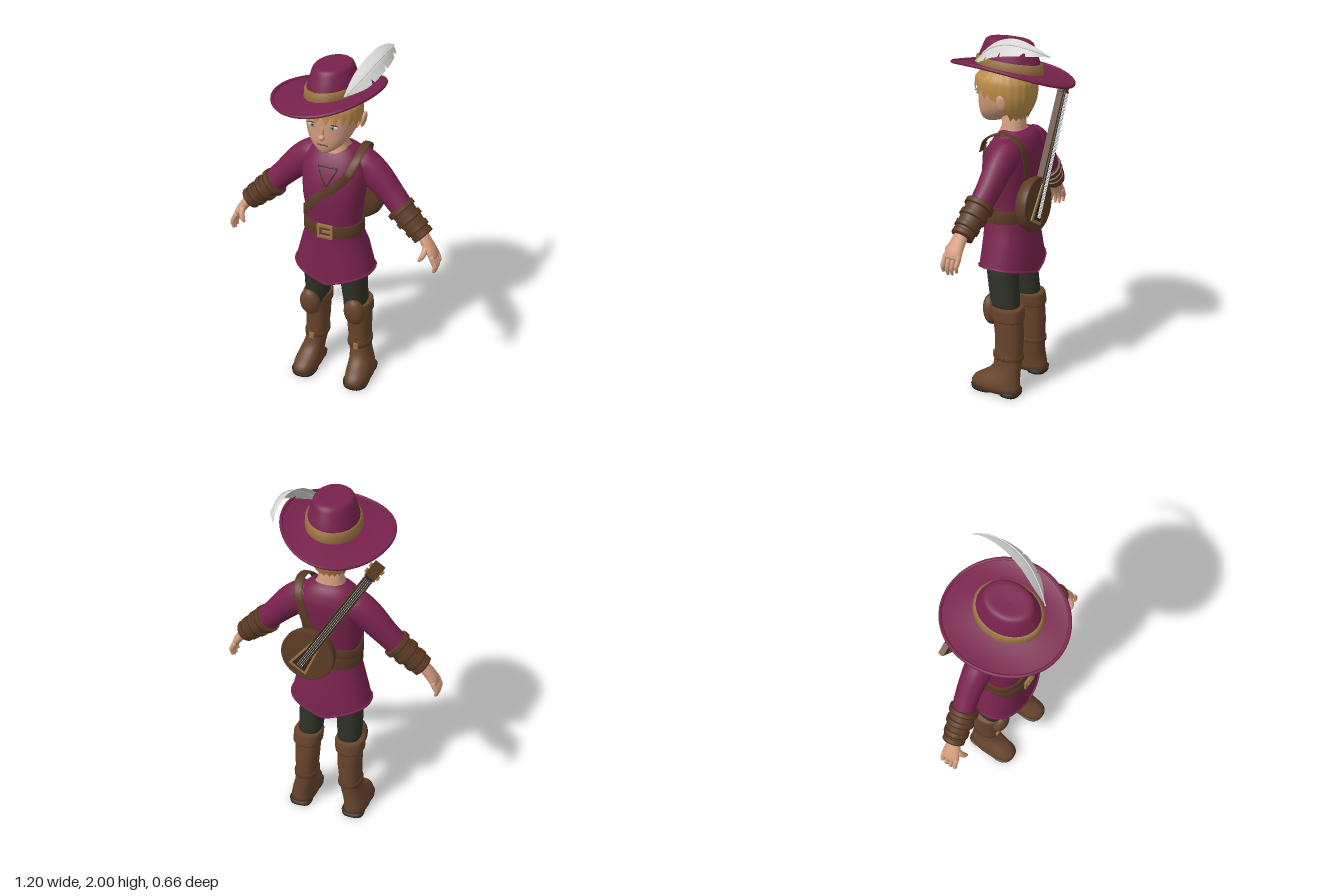
import * as THREE from 'three';

const mat = (name, color, side = THREE.FrontSide) => {
  const m = new THREE.MeshStandardMaterial({ color, side });
  m.name = name;
  return m;
};
const V = (x, y, z) => new THREE.Vector3(x, y, z);
const TAU = Math.PI * 2;

// Smooth surface from a rule f(u, v); wrap joins u = 1 back to u = 0.
function grid(f, nu, nv, wrap = true) {
  const pos = [], idx = [], cols = wrap ? nu : nu + 1;
  for (let j = 0; j <= nv; j++)
    for (let i = 0; i < cols; i++) pos.push(...f(i / nu, j / nv).toArray());
  for (let j = 0; j < nv; j++)
    for (let i = 0; i < nu; i++) {
      const k = (i + 1) % cols, a = j * cols + i, c = j * cols + k;
      idx.push(a, a + cols, c, a + cols, c + cols, c);
    }
  const g = new THREE.BufferGeometry();
  g.setAttribute('position', new THREE.Float32BufferAttribute(pos, 3));
  g.setIndex(idx);
  g.computeVertexNormals();
  return g;
}

// Point on a body of stacked rounded sections [y, centreX, halfX, frontZ, backZ].
function surf(secs, y, a, e = 0.85) {
  let i = 0;
  while (i < secs.length - 2 && y > secs[i + 1][0]) i++;
  const p = secs[i], q = secs[i + 1];
  const t = THREE.MathUtils.clamp((y - p[0]) / (q[0] - p[0]), 0, 1);
  const [, cx, hx, zf, zb] = p.map((n, k) => n + (q[k] - n) * t);
  const pw = n => Math.sign(n) * Math.abs(n) ** e;
  return V(cx + hx * pw(Math.cos(a)), y, (zf + zb) / 2 + (zf - zb) / 2 * pw(Math.sin(a)));
}
function loft(secs, cap = true, e = 0.85) {
  const n = secs.length - 1, rows = secs.map(s => [s, 1]);
  if (cap) { rows.unshift([secs[0], 0]); rows.push([secs[n], 0]); }
  return grid((u, v) => {
    const [s, k] = rows[Math.round(v * (rows.length - 1))];
    const p = surf(secs, s[0], u * TAU, e), c = V(s[1], s[0], (s[3] + s[4]) / 2);
    return k ? p : c;
  }, 32, rows.length - 1);
}

// Tapered limb along points [x, y, z, radiusU, radiusV]; U lies near ref.
function limb(pts, ref = V(0, 0, 1), steps = 4) {
  const path = new THREE.CatmullRomCurve3(pts.map(p => V(p[0], p[1], p[2])));
  const n = (pts.length - 1) * steps;
  return grid((u, v) => {
    const row = Math.round(v * (n + 2)) - 1, t = THREE.MathUtils.clamp(row / n, 0, 1);
    const k = Math.min(Math.floor(t * (pts.length - 1)), pts.length - 2), f = t * (pts.length - 1) - k;
    const r = j => (row < 0 || row > n) ? 0 : pts[k][j] + (pts[k + 1][j] - pts[k][j]) * f;
    const d = path.getTangent(t), U = ref.clone().addScaledVector(d, -ref.dot(d)).normalize();
    const W = U.clone().cross(d);
    return path.getPoint(t).addScaledVector(U, Math.cos(u * TAU) * r(3)).addScaledVector(W, Math.sin(u * TAU) * r(4));
  }, 18, n + 2);
}

// Flat strip lying on a sectioned body, along [angle, y] points.
function ribbon(secs, pts, width, off) {
  const n = (pts.length - 1) * 12;
  const at = t => {
    const s = THREE.MathUtils.clamp(t, 0, 1) * (pts.length - 1), k = Math.min(Math.floor(s), pts.length - 2);
    const [a, y] = pts[k].map((c, j) => c + (pts[k + 1][j] - c) * (s - k));
    return [surf(secs, y, a), V(Math.cos(a), 0, Math.sin(a))];
  };
  return grid((u, v) => {
    const [p, nrm] = at(u), d = at(u + 0.01)[0].sub(at(u - 0.01)[0]).normalize();
    const side = nrm.clone().cross(d).normalize();
    const k = [-1, -1, 1, 1][Math.round(v * 3)], o = [0, off, off, 0][Math.round(v * 3)];
    return p.addScaledVector(side, k * width / 2).addScaledVector(nrm, o);
  }, n, 3, false);
}

export function createModel() {
  const root = new THREE.Group();
  root.name = 'minstrel';
  const D = THREE.DoubleSide;
  const cloth = mat('plum cloth', 0x78224d, D), skin = mat('skin', 0xd39c7e), hair = mat('blond hair', 0xb98d48, D);
  const leather = mat('dark leather', 0x5b3b24, D), boot = mat('boot leather', 0x67442b, D);
  const pants = mat('dark green cloth', 0x2e3226), gold = mat('tan trim', 0x9a7440, D);
  const white = mat('feather white', 0xd6d6d4, D), dark = mat('dark brown', 0x33281f, D), blue = mat('eye blue', 0x6f93a8);
  const add = (name, geo, m, parent = root) => {
    const o = new THREE.Mesh(geo, m);
    o.name = name;
    parent.add(o);
    return o;
  };
  const blob = (name, m, p, s, rz = 0) => {
    const o = add(name, new THREE.SphereGeometry(1, 20, 14), m);
    o.position.set(...p); o.scale.set(...s); o.rotation.z = rz;
    return o;
  };
  const box = (name, m, p, s, parent = root) => {
    const o = add(name, new THREE.BoxGeometry(...s), m, parent);
    o.position.set(...p);
    return o;
  };

  // Tunic with pointed hem
  const torso = [[0.755, 0, 0.222, 0.133, -0.165], [0.9, 0, 0.185, 0.118, -0.148], [1.0, 0, 0.152, 0.12, -0.115],
    [1.1, 0, 0.152, 0.125, -0.12], [1.2, 0, 0.165, 0.138, -0.132], [1.3, 0, 0.175, 0.126, -0.147],
    [1.38, 0, 0.176, 0.1, -0.155], [1.44, 0, 0.145, 0.062, -0.148], [1.468, 0, 0.115, 0.04, -0.12], [1.485, 0, 0.08, 0.02, -0.095]];
  const tunic = loft(torso, false), tp = tunic.attributes.position;
  for (let i = 0; i < 32; i++) tp.setY(i, 0.755 - 0.065 * (1 - Math.abs(tp.getX(i)) / 0.222));
  tunic.computeVertexNormals();
  add('tunic', tunic, cloth);
  add('tunicHem', new THREE.TubeGeometry(new THREE.CatmullRomCurve3(
    [...Array(32).keys()].map(i => V(tp.getX(i), tp.getY(i), tp.getZ(i))), true), 64, 0.007, 6, true), cloth);
  add('neckOpening', ribbon(torso, [[1.32, 1.395], [1.56, 1.3], [1.82, 1.395], [1.32, 1.395]], 0.006, 0.004), dark);

  // Belt and buckle
  add('belt', ribbon(torso, [0, 1, 2, 3, 4].map(i => [i * TAU / 4, 1.025]), 0.07, 0.012), leather);
  for (const s of [-1, 1]) {
    box('buckleSide', gold, [s * 0.036, 1.03, 0.137], [0.014, 0.08, 0.014]);
    box('buckleBar', gold, [0, 1.03 + s * 0.033, 0.137], [0.086, 0.014, 0.014]);
  }
  box('bucklePin', gold, [0.01, 1.03, 0.139], [0.05, 0.012, 0.01]);

  // Shoulder strap: chest, over the shoulder, and round the back
  add('chestStrap', ribbon(torso, [[0.85, 1.4], [1.02, 1.36], [1.57, 1.265], [2.15, 1.155], [2.8, 1.085], [3.6, 1.07], [4.4, 1.09]], 0.048, 0.012), leather);
  add('shoulderStrap', limb([[0.11, 1.37, 0.105, 0.024, 0.006], [0.14, 1.44, 0.065, 0.024, 0.006], [0.15, 1.482, -0.01, 0.024, 0.006],
    [0.15, 1.482, -0.085, 0.024, 0.006], [0.135, 1.43, -0.148, 0.024, 0.006], [0.1, 1.3, -0.155, 0.024, 0.006], [0.06, 1.2, -0.14, 0.024, 0.006]], V(1, 0, 0)), leather);

  // Neck and head
  add('neck', loft([[1.42, 0, 0.09, 0.066, -0.12], [1.465, 0, 0.085, 0.046, -0.1], [1.5, 0, 0.066, 0.035, -0.085], [1.62, 0, 0.062, 0.04, -0.085]]), skin);
  const head = [[1.507, 0, 0.025, 0.143, 0.08], [1.52, 0, 0.05, 0.154, 0.04], [1.545, 0, 0.083, 0.16, 0], [1.575, 0, 0.108, 0.165, -0.06],
    [1.61, 0, 0.124, 0.167, -0.1], [1.65, 0, 0.133, 0.165, -0.115], [1.7, 0, 0.138, 0.17, -0.12], [1.75, 0, 0.134, 0.165, -0.115], [1.8, 0, 0.1, 0.12, -0.09]];
  add('head', loft(head, true, 0.92), skin);
  const faceZ = (x, y) => {
    let a = Math.PI / 2;
    while (surf(head, y, a, 0.92).x < Math.abs(x)) a -= 0.01;
    return surf(head, y, a, 0.92).z;
  };
  blob('nose', skin, [0, 1.607, 0.168], [0.017, 0.016, 0.021]);
  blob('noseBridge', skin, [0, 1.635, 0.162], [0.01, 0.035, 0.012]);
  blob('mouth', leather, [0, 1.562, faceZ(0, 1.562)], [0.032, 0.004, 0.004]);
  for (const s of [-1, 1]) {
    blob('eyeWhite', white, [s * 0.055, 1.666, faceZ(0.055, 1.666) - 0.001], [0.024, 0.013, 0.005]);
    blob('iris', blue, [s * 0.054, 1.666, faceZ(0.054, 1.666) + 0.002], [0.011, 0.012, 0.004]);
    blob('pupil', dark, [s * 0.054, 1.666, faceZ(0.054, 1.666) + 0.004], [0.005, 0.006, 0.003]);
    blob('eyelid', dark, [s * 0.056, 1.68, faceZ(0.056, 1.68)], [0.026, 0.003, 0.005], -s * 0.1);
    blob('eyebrow', hair, [s * 0.058, 1.706, faceZ(0.058, 1.706)], [0.03, 0.006, 0.006], -s * 0.1);
    blob('ear', skin, [s * 0.147, 1.645, -0.03], [0.014, 0.045, 0.028], -s * 0.2);
  }

  // Hair shell with a jagged edge: short fringe, long at the nape
  const hairSecs = [[1.54, 0, 0.085, 0.15, -0.095], [1.6, 0, 0.125, 0.17, -0.125], [1.65, 0, 0.145, 0.176, -0.138],
    [1.7, 0, 0.15, 0.182, -0.14], [1.75, 0, 0.146, 0.178, -0.134], [1.8, 0, 0.11, 0.14, -0.1]];
  add('hair', grid((u, v) => {
    const a = u * TAU, s = Math.sin(a);
    const lock = Math.abs((u * 22) % 1 - 0.5) * 2;
    const edge = s > 0 ? 1.675 + 0.05 * Math.min(1, s * 1.2) - 0.04 * lock : 1.675 - 0.12 * Math.min(1, -s * 1.9) - 0.02 * lock;
    const p = surf(hairSecs, edge + (1.8 - edge) * v, a, 0.9);
    p.x *= 1 + 0.02 * lock; p.z *= 1 + 0.02 * lock;
    return p;
  }, 132, 10), hair);

  // Hat: tilted brim, crown and band
  const tilt = (x, z) => 1.78 + 0.17 * (x + 0.03) + 0.09 * z;
  const brimAt = (a, v) => {
    const x = -0.005 + 0.12 * Math.cos(a) + v * (-0.025 + 0.16 * Math.cos(a)), z = (0.16 + 0.163 * v) * Math.sin(a);
    return V(x, tilt(x, z) + 0.02 * v * v * Math.cos(2 * a) + 0.012 * (1 - v) ** 2, z);
  };
  add('hatBrim', grid((u, v) => brimAt(u * TAU, 1 - v), 56, 10), cloth);
  add('hatBrimEdge', new THREE.TubeGeometry(new THREE.CatmullRomCurve3(
    [...Array(40).keys()].map(i => brimAt(i / 40 * TAU, 1)), true), 80, 0.009, 8, true), cloth);
  const crownAt = (a, k, h) => {
    const x = 0.133 * k * Math.cos(a), z = 0.174 * k * Math.sin(a);
    return V(x - 0.005, 1.783 + h + (tilt(x, z) - 1.785) * (1 - 3.5 * h), z + 0.005);
  };
  const prof = [[1, 0], [0.99, 0.03], [0.95, 0.065], [0.87, 0.1], [0.79, 0.135], [0.74, 0.152], [0.66, 0.162], [0.5, 0.162], [0, 0.158]];
  add('hatCrown', grid((u, v) => crownAt(u * TAU, ...prof[Math.round(v * 8)]), 40, 8), cloth);
  const band = [[0.98, 0.005], [1.07, 0.005], [1.04, 0.055], [0.94, 0.057]];
  add('hatBand', grid((u, v) => crownAt(u * TAU, ...band[Math.round(v * 3)]), 40, 3), gold);

  // Feather: bowed blade between two edges, with notches
  const curve = pts => new THREE.CatmullRomCurve3(pts.map(p => V(...p)));
  const inner = curve([[0.105, 1.84, 0.145], [0.122, 1.92, 0.06], [0.15, 1.975, -0.03], [0.175, 1.998, -0.14], [0.19, 1.975, -0.25], [0.187, 1.936, -0.33]]);
  const outer = curve([[0.11, 1.835, 0.135], [0.195, 1.865, 0.06], [0.238, 1.905, -0.03], [0.25, 1.925, -0.12], [0.235, 1.935, -0.24], [0.188, 1.934, -0.33]]);
  const rib = t => inner.getPoint(t).lerp(outer.getPoint(t), 0.45).add(V(0.012, 0.012, 0).multiplyScalar(Math.sin(t * Math.PI)));
  add('feather', grid((u, v) => {
    const cut = [0.28, 0.5, 0.74].some(c => Math.abs(u - c) < 0.013) ? 0.6 : 1;
    const r = rib(u);
    return v < 0.5 ? r.lerp(inner.getPoint(u), 1 - 2 * v) : r.lerp(outer.getPoint(u), (2 * v - 1) * cut);
  }, 60, 6, false), white);
  add('featherQuill', new THREE.TubeGeometry(curve([0, 0.2, 0.4, 0.6, 0.8, 1].map(t => rib(t).toArray())), 30, 0.004, 6), white);

  for (const s of [-1, 1]) {
    const side = pts => pts.map(([x, ...r]) => [x * s, ...r]);
    const lofted = secs => secs.map(([y, x, ...r]) => [y, x * s, ...r]);

    // Sleeve, bracer with straps
    add('sleeve', limb(side([[0.08, 1.385, -0.055, 0.07, 0.07], [0.14, 1.372, -0.055, 0.08, 0.09], [0.21, 1.325, -0.052, 0.074, 0.084],
      [0.3, 1.235, -0.045, 0.064, 0.07], [0.4, 1.13, -0.025, 0.058, 0.06]])), cloth);
    const along = t => [0.352 + 0.148 * t, 1.172 - 0.132 * t, -0.03 + 0.025 * t];
    add('bracer', limb(side([[...along(0), 0.07, 0.068], [...along(0.5), 0.066, 0.062], [...along(1), 0.054, 0.05]])), leather);
    for (const [t, r] of [[0.08, 0.079], [0.4, 0.074], [0.72, 0.067], [0.93, 0.06]])
      add('bracerStrap', limb(side([[...along(t - 0.07), r, r], [...along(t + 0.07), r, r]])), leather);

    // Hand, four fingers and thumb
    add('palm', limb(side([[0.485, 1.06, -0.005, 0.036, 0.03], [0.52, 1.015, 0.005, 0.042, 0.028], [0.553, 0.97, 0.012, 0.05, 0.024], [0.57, 0.938, 0.014, 0.046, 0.018]])), skin);
    for (let i = 0; i < 4; i++) {
      const z = -0.026 + i * 0.026, drop = [0.02, 0.004, 0, 0.012][i];
      add('finger', limb(side([[0.56, 0.96, z, 0.013, 0.015], [0.58, 0.92, z + 0.002, 0.013, 0.014], [0.586, 0.89 + drop, z + 0.004, 0.012, 0.012], [0.58, 0.858 + drop, z + 0.004, 0.007, 0.007]])), skin);
    }
    add('thumb', limb(side([[0.525, 1.01, 0.025, 0.017, 0.017], [0.525, 0.975, 0.058, 0.017, 0.016], [0.513, 0.95, 0.072, 0.014, 0.013], [0.502, 0.932, 0.076, 0.007, 0.007]])), skin);

    // Trouser leg
    add('trouserLeg', loft(lofted([[0.44, 0.118, 0.06, 0.03, -0.12], [0.55, 0.112, 0.066, 0.05, -0.115], [0.7, 0.105, 0.073, 0.07, -0.1], [0.88, 0.085, 0.083, 0.085, -0.11]])), pants);

    // Boot, sole, cuff, knee flap and ankle strap
    const shaft = lofted([[0.015, 0.158, 0.07, 0.143, -0.147], [0.045, 0.158, 0.071, 0.146, -0.146], [0.07, 0.156, 0.068, 0.13, -0.144],
      [0.095, 0.152, 0.064, 0.09, -0.142], [0.125, 0.146, 0.06, 0.045, -0.14], [0.16, 0.138, 0.058, 0.018, -0.14], [0.22, 0.131, 0.059, 0.01, -0.143],
      [0.34, 0.126, 0.066, 0.012, -0.148], [0.43, 0.124, 0.069, 0.02, -0.142], [0.5, 0.121, 0.072, 0.03, -0.135]]);
    add('boot', loft(shaft), boot);
    add('soleFront', loft(lofted([[0.004, 0.158, 0.07, 0.143, -0.02], [0.022, 0.158, 0.073, 0.147, -0.04]])), dark);
    add('heel', loft(lofted([[0, 0.158, 0.062, -0.04, -0.147], [0.024, 0.158, 0.066, -0.03, -0.149]]), true, 0.7), dark);
    add('bootCuff', loft(lofted([[0.435, 0.124, 0.073, 0.024, -0.146], [0.445, 0.124, 0.08, 0.03, -0.15], [0.5, 0.121, 0.081, 0.035, -0.143], [0.512, 0.121, 0.075, 0.03, -0.137]])), boot);
    blob('kneeFlap', boot, [s * 0.132, 0.475, 0.04], [0.06, 0.087, 0.042]).rotation.x = 0.12;
    add('ankleStrap', ribbon(shaft, [0, 1, 2, 3, 4].map(i => [i * TAU / 4, 0.22]), 0.024, 0.008), leather);
    box('ankleBuckle', gold, [s * 0.135, 0.22, 0.018], [0.028, 0.034, 0.012]);
  }

  // Lute slung across the back
  const lute = new THREE.Group();
  lute.name = 'lute';
  lute.position.set(0.068, 1.105, -0.162);
  lute.rotation.set(0.05, 0, 0.555);
  root.add(lute);
  const bowl = [[0, 0], [0.14, 0], [0.146, 0.005], [0.146, 0.035], [0.135, 0.065], [0.1, 0.088], [0, 0.1]].map(p => new THREE.Vector2(...p));
  add('luteBody', new THREE.LatheGeometry(bowl, 40).rotateX(Math.PI / 2).translate(0, 0, -0.05), leather, lute);
  const plate = (w0, w1, y0, y1, depth) => new THREE.ExtrudeGeometry(new THREE.Shape(
    [[-w0, y0], [w0, y0], [w1, y1], [-w1, y1]].map(p => new THREE.Vector2(...p))), { depth, bevelEnabled: false });
  add('luteTrim', plate(0.055, 0.024, -0.1, 0.11, 0.008).translate(0, 0, -0.057), gold, lute);
  add('luteInset', plate(0.04, 0.016, -0.085, 0.1, 0.004).translate(0, 0, -0.06), dark, lute);
  add('luteNeck', plate(0.03, 0.024, 0.1, 0.63, 0.035).translate(0, 0, -0.052), leather, lute);
  add('fingerboard', plate(0.025, 0.02, 0.05, 0.62, 0.008).translate(0, 0, -0.064), dark, lute);
  for (let i = -1.5; i < 2; i++) box('string', white, [i * 0.009, 0.27, -0.066], [0.002, 0.68, 0.003], lute);
  box('luteHead', leather, [0, 0.655, -0.035], [0.06, 0.09, 0.03], lute);
  for (const s of [-1, 1])
    for (const y of [0.635, 0.675]) box('tuningPeg', gold, [s * 0.034, y, -0.04], [0.014, 0.016, 0.02], lute);

  return root;
}
